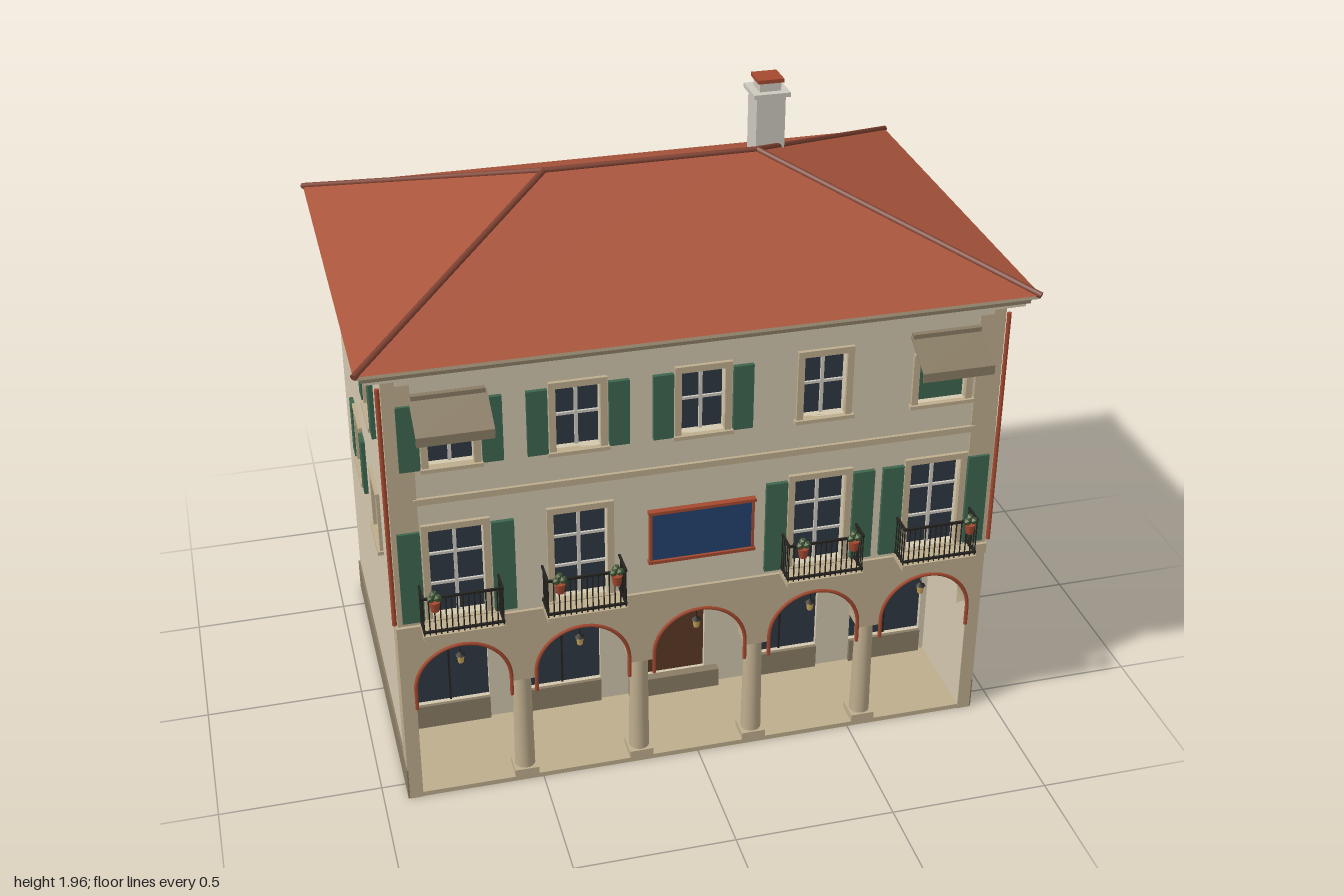
import * as THREE from 'three';

const mats = {};
const mat = (c) => (mats[c] ??= new THREE.MeshStandardMaterial({ color: c, side: THREE.DoubleSide }));
const WALL = 0xd3c7ae, TAN = 0xbfae8e, DARK = 0x8a7d65, ROOF = 0xa9553c, GLASS = 0x2f3843, GREEN = 0x3e664f,
  RED = 0xa4492f, IRON = 0x25231f, STONE = 0xcdc9bf, WOOD = 0x5a3a26, CAP = 0x7d4030;
const BAYS = [-0.735, -0.368, 0, 0.368, 0.735];

function add(parent, name, geo, color, x = 0, y = 0, z = 0) {
  const m = new THREE.Mesh(geo, mat(color));
  m.name = name;
  m.position.set(x, y, z);
  parent.add(m);
  return m;
}
// Box given by its limits on each axis
function box(p, name, color, x0, x1, y0, y1, z0, z1) {
  return add(p, name, new THREE.BoxGeometry(x1 - x0, y1 - y0, z1 - z0), color, (x0 + x1) / 2, (y0 + y1) / 2, (z0 + z1) / 2);
}
function group(p, name, x = 0, y = 0, z = 0, ry = 0) {
  const g = new THREE.Group();
  g.name = name;
  g.position.set(x, y, z);
  g.rotation.y = ry;
  p.add(g);
  return g;
}
function rod(p, name, color, a, b, r, sides = 8) {
  const A = new THREE.Vector3(...a), B = new THREE.Vector3(...b), d = B.clone().sub(A);
  const m = add(p, name, new THREE.CylinderGeometry(r, r, d.length(), sides), color);
  m.position.copy(A).add(B).multiplyScalar(0.5);
  m.quaternion.setFromUnitVectors(new THREE.Vector3(0, 1, 0), d.normalize());
}
const path = (P, x0, x1, y0, y1) => new P([[x0, y0], [x1, y0], [x1, y1], [x0, y1]].map((v) => new THREE.Vector2(...v)));
// Wall whose outer face lies at z = 0, with rectangular openings
function wall(p, name, color, x0, x1, y0, y1, holes, depth = 0.04) {
  const s = path(THREE.Shape, x0, x1, y0, y1);
  s.holes = holes.map((h) => path(THREE.Path, ...h));
  add(p, name, new THREE.ExtrudeGeometry(s, { depth, bevelEnabled: false }), color, 0, 0, -depth);
}
// Window in a wall facing +z; shutters lists the sides carrying a leaf
function windowUnit(p, w) {
  const { x, y0, y1, hw, f = 0.02, shutters = [], sw = 0.06, closed } = w;
  const g = group(p, 'window', x);
  box(g, closed ? 'closedShutter' : 'glass', closed ? GREEN : GLASS, -hw, hw, y0, y1, -0.04, closed ? -0.02 : -0.03);
  for (const s of [-1, 1]) {
    const m = s * (hw + f / 2);
    box(g, 'jamb', TAN, m - f / 2, m + f / 2, y0, y1, -0.01, 0.01);
  }
  box(g, 'lintel', TAN, -hw - f, hw + f, y1, y1 + f, -0.01, 0.012);
  box(g, 'sill', TAN, -hw - f - 0.006, hw + f + 0.006, y0 - 0.012, y0, -0.01, 0.018);
  if (!closed && w.bars) {
    box(g, 'mullion', STONE, -0.005, 0.005, y0, y1, -0.031, -0.022);
    for (const t of w.bars) {
      const y = y0 + (y1 - y0) * t;
      box(g, 'glazingBar', STONE, -hw, hw, y - 0.004, y + 0.004, -0.031, -0.023);
    }
  }
  for (const s of shutters) {
    const c = s * (hw + f + sw / 2 + 0.004);
    box(g, 'shutter', GREEN, c - sw / 2, c + sw / 2, y0 - 0.002, y1 + 0.002, 0.001, 0.014);
  }
}
const hole = (w) => [w.x - w.hw, w.x + w.hw, w.y0, w.y1];

function balcony(p, x, pots) {
  const g = group(p, 'balcony', x);
  box(g, 'balconySlab', TAN, -0.12, 0.12, 0.645, 0.662, 0, 0.09);
  box(g, 'balconyMoulding', TAN, -0.11, 0.11, 0.63, 0.645, 0, 0.075);
  const bracket = new THREE.Shape([[0, 0.59], [0.02, 0.6], [0.06, 0.63], [0, 0.63]].map((v) => new THREE.Vector2(...v)));
  for (const s of [-1, 1]) {
    const b = add(g, 'bracket', new THREE.ExtrudeGeometry(bracket, { depth: 0.018, bevelEnabled: false }), TAN, s * 0.08 + 0.009);
    b.rotation.y = -Math.PI / 2;
  }
  for (const y of [0.67, 0.787]) {
    box(g, 'rail', IRON, -0.12, 0.12, y, y + 0.007, 0.08, 0.087);
    for (const s of [-0.117, 0.117]) box(g, 'sideRail', IRON, s - 0.0035, s + 0.0035, y, y + 0.007, 0, 0.086);
  }
  for (let i = 0; i <= 14; i++) rod(g, 'baluster', IRON, [-0.117 + i * 0.0167, 0.66, 0.083], [-0.117 + i * 0.0167, 0.79, 0.083], 0.0022, 5);
  for (const s of [-0.117, 0.117]) for (let i = 1; i < 5; i++) rod(g, 'baluster', IRON, [s, 0.66, i * 0.0167], [s, 0.79, i * 0.0167], 0.0022, 5);
  for (const px of pots) {
    add(g, 'flowerPot', new THREE.CylinderGeometry(0.017, 0.012, 0.032, 10), RED, px, 0.777, 0.104);
    for (const [dx, dy, dz] of [[-0.01, 0, 0], [0.01, 0.003, 0.004], [0, 0.01, -0.006]])
      add(g, 'plant', new THREE.IcosahedronGeometry(0.013, 0), 0x3c5230, px + dx, 0.803 + dy, 0.104 + dz);
  }
}

export function createModel() {
  const root = new THREE.Group();
  root.name = 'townhouse';

  // Front wall of the two upper floors
  const front = group(root, 'frontFacade', 0, 0, 0.57);
  const upper = BAYS.map((x, i) => ({
    x, y0: 1.18, y1: i === 4 ? 1.33 : 1.385, hw: i === 4 ? 0.075 : 0.065,
    closed: i === 4, shutters: i < 3 ? [-1, 1] : [], bars: [0.5],
  }));
  const middle = BAYS.filter((x) => x).map((x) => ({
    x, y0: 0.665, y1: 0.97, hw: 0.08, shutters: x === -0.368 ? [] : [-1, 1], sw: 0.066, bars: [0.33, 0.67],
  }));
  const openings = [...upper, ...middle];
  wall(front, 'upperWall', WALL, -0.919, 0.919, 0.64, 1.5, openings.map(hole));
  openings.forEach((w) => windowUnit(front, w));
  for (const s of [-1, 1]) {
    box(front, 'cornerStrip', TAN, s * 0.88 - 0.04, s * 0.88 + 0.04, 0.65, 1.47, -0.002, 0.005);
    rod(front, 'downpipe', RED, [s * 0.929, 0.66, 0.005], [s * 0.929, 1.45, 0.005], 0.007);
  }
  box(front, 'stringCourse', TAN, -0.85, 0.85, 1.06, 1.08, 0, 0.01);
  box(front, 'frieze', WALL, -0.88, 0.88, 1.455, 1.47, 0, 0.012);
  box(front, 'bandCourse', TAN, -0.925, 0.925, 0.61, 0.645, -0.03, 0.01);
  [[0.085, -0.085], [-0.08, 0.08]].forEach((p, i) => balcony(front, [-0.368, 0.368][i], p));
  balcony(front, -0.735, [-0.085]);
  balcony(front, 0.735, [0.085]);

  // Blue panel with its frame
  box(front, 'panel', 0x24406f, -0.155, 0.155, 0.76, 0.925, 0, 0.012);
  for (const y of [0.752, 0.924]) box(front, 'panelLedge', RED, -0.165, 0.165, y, y + 0.01, 0, 0.02);
  for (const s of [-1, 1]) box(front, 'panelEdge', RED, s * 0.157 - 0.004, s * 0.157 + 0.004, 0.76, 0.926, 0, 0.016);

  // Awnings
  for (const x of [-0.735, 0.735]) {
    const g = group(front, 'awning', x, 1.41, 0.005);
    const a = Math.atan2(0.065, 0.115);
    const sheet = add(g, 'awningSheet', new THREE.BoxGeometry(0.22, 0.005, 0.132), DARK, 0, -0.0325, 0.0575);
    sheet.rotation.x = a;
    box(g, 'valance', DARK, -0.11, 0.11, -0.092, -0.063, 0.113, 0.117);
    box(g, 'awningRoller', DARK, -0.105, 0.105, -0.008, 0.01, -0.005, 0.012);
  }

  // Arcade
  const R = 0.145, SPRING = 0.41;
  const s = new THREE.Shape();
  s.moveTo(-0.921, 0);
  s.lineTo(-0.88, 0);
  for (const c of BAYS) {
    s.lineTo(c - R, SPRING);
    s.absarc(c, SPRING, R, Math.PI, 0, true);
  }
  s.lineTo(0.88, 0);
  s.lineTo(0.921, 0);
  s.lineTo(0.921, 0.64);
  s.lineTo(-0.921, 0.64);
  add(root, 'arcadeWall', new THREE.ExtrudeGeometry(s, { depth: 0.08, bevelEnabled: false, curveSegments: 20 }), TAN, 0, 0, 0.492);
  for (const c of BAYS) {
    add(root, 'archTrim', new THREE.TorusGeometry(R, 0.006, 6, 28, Math.PI), RED, c, SPRING, 0.573);
    for (const k of [-R, R]) rod(root, 'archTrimLeg', RED, [c + k, 0.34, 0.573], [c + k, SPRING, 0.573], 0.006, 6);
    // Hanging lantern
    rod(root, 'lanternRod', IRON, [c, 0.49, 0.53], [c, 0.555, 0.53], 0.002, 5);
    add(root, 'lantern', new THREE.CylinderGeometry(0.013, 0.009, 0.028, 6), 0xc9a55a, c, 0.472, 0.53);
    add(root, 'lanternCap', new THREE.ConeGeometry(0.017, 0.012, 6), IRON, c, 0.491, 0.53);
  }
  for (const x of [-0.5515, -0.184, 0.184, 0.5515]) {
    const g = group(root, 'column', x, 0, 0.532);
    box(g, 'columnBase', TAN, -0.038, 0.038, 0.012, 0.04, -0.038, 0.038);
    add(g, 'columnShaft', new THREE.CylinderGeometry(0.028, 0.032, 0.35, 20), TAN, 0, 0.215, 0);
    box(g, 'capital', TAN, -0.037, 0.037, 0.388, 0.411, -0.038, 0.038);
  }

  // Portico floor, ceiling and shop wall
  box(root, 'porticoFloor', TAN, -0.9, 0.9, 0, 0.016, 0.25, 0.57);
  box(root, 'ceiling', WALL, -0.89, 0.89, 0.59, 0.61, -0.58, 0.5);
  const shop = group(root, 'shopFront', 0, 0, 0.25);
  const shops = BAYS.filter((x) => x);
  wall(shop, 'shopWall', WALL, -0.89, 0.89, 0, 0.6, [...shops.map((x) => [x - 0.125, x + 0.125, 0.1, 0.445]), [-0.107, 0.107, 0.08, 0.41]]);
  for (const x of shops) {
    box(shop, 'shopGlass', GLASS, x - 0.125, x + 0.125, 0.1, 0.445, -0.035, -0.015);
    box(shop, 'shopMullion', IRON, x - 0.003, x + 0.003, 0.1, 0.445, -0.016, -0.008);
    box(shop, 'shopBase', DARK, x - 0.125, x + 0.125, 0.016, 0.1, 0, 0.012);
  }
  box(shop, 'door', WOOD, -0.107, 0.107, 0.08, 0.41, -0.035, -0.015);
  box(shop, 'doorStep', DARK, -0.15, 0.15, 0.016, 0.083, 0, 0.03);
  box(shop, 'doorBar', IRON, -0.08, 0.08, 0.44, 0.45, 0, 0.03);

  // Side walls: local x runs along the depth of the house
  for (const d of [1, -1]) {
    const side = group(root, d > 0 ? 'leftSide' : 'rightSide', d * 0.92, 0, 0, d * Math.PI / 2);
    const ws = [];
    for (const z of [0.23, -0.17]) {
      const shut = d < 0 && z < 0;
      ws.push({ x: -d * z, y0: 1.18, y1: 1.37, hw: 0.068, f: 0.015, shutters: [-1, 1] });
      ws.push({ x: -d * z, y0: 0.75, y1: 0.935, hw: 0.068, f: 0.015, closed: !shut, shutters: shut ? [-1, 1] : [] });
    }
    const span = (z0, z1) => [Math.min(-d * z0, -d * z1), Math.max(-d * z0, -d * z1)];
    wall(side, 'sideWall', WALL, ...span(-0.61, 0.569), 0, 1.5, ws.map(hole));
    ws.forEach((w) => windowUnit(side, w));
    box(side, 'sidePlinth', DARK, ...span(-0.61, 0.57), 0, 0.11, -0.01, 0.006);
    box(side, 'cornerReturn', TAN, ...span(0.49, 0.572), 0.11, 0.645, -0.01, 0.004);
  }
  box(root, 'backWall', WALL, -0.88, 0.88, 0, 1.5, -0.61, -0.57);

  // Stepped cornice and soffit
  const steps = [[0.94, 1.468, 1.482], [0.965, 1.482, 1.495], [0.975, 1.495, 1.515]];
  steps.forEach(([x, y0, y1], i) => box(root, 'cornice', i === 2 ? DARK : WALL, -x, x, y0, y1, -0.02 - x + 0.33, -0.03 + x - 0.33));
  box(root, 'eaves', TAN, -0.992, 0.992, 1.515, 1.528, -0.682, 0.632);

  // Hipped roof
  const roof = group(root, 'roof');
  const Y = 1.528, T = 1.785, Z = -0.025;
  const A = [-0.995, Y, 0.637], B = [0.995, Y, 0.637], C = [0.995, Y, -0.687], D = [-0.995, Y, -0.687];
  const E = [-0.33, T, Z], F = [0.33, T, Z];
  const tris = [A, B, F, A, F, E, B, C, F, C, D, E, C, E, F, D, A, E, A, D, C, A, C, B];
  const geo = new THREE.BufferGeometry();
  geo.setAttribute('position', new THREE.Float32BufferAttribute(tris.flat(), 3));
  geo.computeVertexNormals();
  add(roof, 'roofSlopes', geo, ROOF);
  for (const [p, q] of [[A, E], [D, E], [B, F], [C, F], [E, F]]) rod(roof, 'ridgeTiles', CAP, p, q, 0.01, 8);

  // Chimney
  const ch = group(root, 'chimney', 0.402, 0, -0.167);
  const sq = (n, c, h, y0, y1) => box(ch, n, c, -h, h, y0, y1, -h, h);
  sq('chimneyShaft', STONE, 0.046, 1.6, 1.91);
  sq('chimneyCap', STONE, 0.058, 1.91, 1.924);
  sq('chimneyNeck', STONE, 0.034, 1.924, 1.952);
  sq('chimneyTile', RED, 0.041, 1.952, 1.964);
  return root;
}
